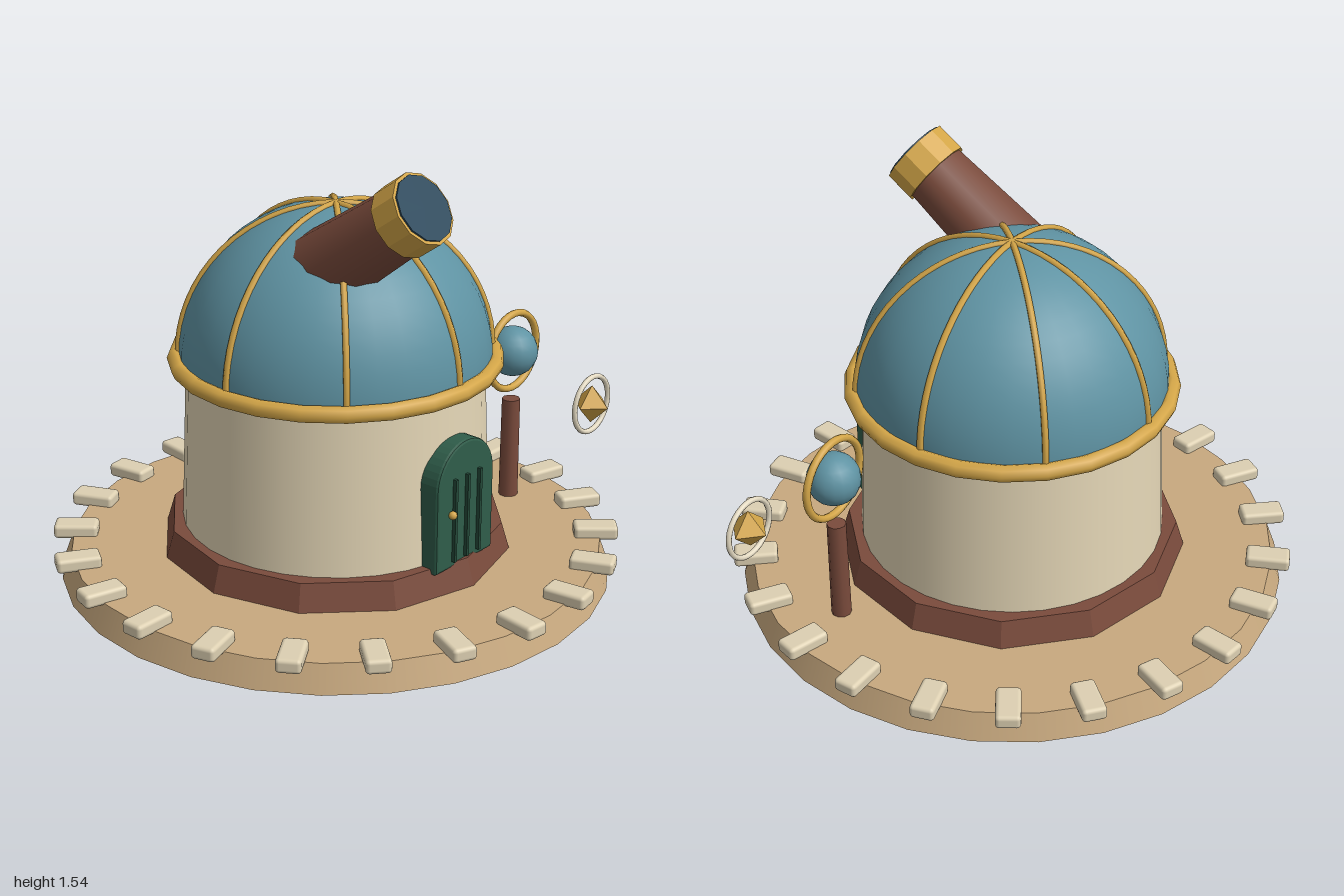
import * as THREE from 'three';
import { RoundedBoxGeometry } from 'three/addons/geometries/RoundedBoxGeometry.js';

const paint = (color, flatShading = false) => new THREE.MeshStandardMaterial({ color, flatShading });

export function createModel() {
  const model = new THREE.Group();
  const sand = paint(0xc8a97f), stone = paint(0xddd0b2), wood = paint(0x7a4b3c);
  const woodFlat = paint(0x7a4b3c, true), plaster = paint(0xe4d6b6), blue = paint(0x5f93a3);
  const gold = paint(0xd4a648), goldFlat = paint(0xd4a648, true), green = paint(0x2f5d4a);
  const darkGreen = paint(0x234838), glass = paint(0x2b495c), cream = paint(0xe6dcc4);

  const add = (name, geometry, material, x = 0, y = 0, z = 0, parent = model) => {
    const mesh = new THREE.Mesh(geometry, material);
    mesh.name = name;
    mesh.position.set(x, y, z);
    parent.add(mesh);
    return mesh;
  };

  // Round terrace with a ring of border stones
  add('terrace', new THREE.CylinderGeometry(0.935, 0.97, 0.095, 28), sand, 0, 0.0475, 0);
  const stoneGeo = new RoundedBoxGeometry(0.155, 0.05, 0.085, 2, 0.014);
  const stones = new THREE.Group();
  stones.name = 'borderStones';
  model.add(stones);
  const stoneCount = 22;
  for (let i = 0; i < stoneCount; i++) {
    const a = (i / stoneCount) * Math.PI * 2;
    const s = add('borderStone', stoneGeo, stone, Math.cos(a) * 0.922, 0.11, Math.sin(a) * 0.922, stones);
    s.rotation.y = -a;
  }

  // Twelve-sided plinth and round tower
  add('plinth', new THREE.CylinderGeometry(0.59, 0.62, 0.1, 12), woodFlat, 0, 0.14, 0);
  add('tower', new THREE.CylinderGeometry(0.515, 0.54, 0.6, 32), plaster, 0, 0.475, 0);

  // Dome, its rim and eight ribs
  const domeY = 0.775;
  add('dome', new THREE.SphereGeometry(0.54, 32, 14, 0, Math.PI * 2, 0, Math.PI / 2), blue, 0, domeY, 0);
  add('domeUnderside', new THREE.CircleGeometry(0.54, 32).rotateX(Math.PI / 2), blue, 0, domeY, 0);
  add('domeRim', new THREE.TorusGeometry(0.55, 0.03, 8, 24).rotateX(Math.PI / 2), gold, 0, domeY, 0);
  const ribGeo = new THREE.TorusGeometry(0.541, 0.012, 6, 32, Math.PI);
  for (let i = 0; i < 4; i++) {
    add('domeRib', ribGeo, gold, 0, domeY, 0).rotation.y = (i * Math.PI) / 4;
  }

  // Telescope: local y runs along the barrel, origin at the open end
  const telescope = new THREE.Group();
  telescope.name = 'telescope';
  telescope.position.set(-0.168, 1.434, 0.51);
  telescope.quaternion.setFromUnitVectors(
    new THREE.Vector3(0, 1, 0), new THREE.Vector3(0.03, 0.578, 0.816).normalize());
  model.add(telescope);
  add('barrel', new THREE.CylinderGeometry(0.113, 0.138, 0.45, 12), wood, 0, -0.285, 0, telescope);
  add('barrelCollar', new THREE.CylinderGeometry(0.126, 0.126, 0.105, 12), goldFlat, 0, -0.0525, 0, telescope);
  add('lens', new THREE.CylinderGeometry(0.115, 0.115, 0.01, 12), glass, 0, 0.001, 0, telescope);

  // Arched door with grooves and knob
  const arch = new THREE.Shape();
  arch.moveTo(-0.14, 0);
  arch.lineTo(0.14, 0);
  arch.lineTo(0.14, 0.285);
  arch.absarc(0, 0.285, 0.14, 0, Math.PI, false);
  arch.lineTo(-0.14, 0);
  add('door', new THREE.ExtrudeGeometry(arch, {
    depth: 0.065, curveSegments: 10, bevelSize: 0.01, bevelThickness: 0.01, bevelSegments: 2,
  }), green, 0, 0.183, 0.502);
  for (const x of [-0.065, 0, 0.065]) {
    add('doorStrip', new THREE.BoxGeometry(0.012, 0.3, 0.02), darkGreen, x, 0.347, 0.58);
  }
  add('doorKnob', new THREE.SphereGeometry(0.015, 10, 8), gold, -0.083, 0.375, 0.588);

  // Post with a ringed globe hovering above it
  add('post', new THREE.CylinderGeometry(0.033, 0.035, 0.385, 10), wood, 0.673, 0.2825, 0.26);
  add('globe', new THREE.SphereGeometry(0.092, 18, 12), blue, 0.673, 0.66, 0.26);
  add('globeRing', new THREE.TorusGeometry(0.142, 0.0135, 8, 32), gold, 0.673, 0.66, 0.26);

  // Small floating crystal in its ring
  add('crystal', new THREE.OctahedronGeometry(0.072), goldFlat, 0.845, 0.463, 0.495);
  add('crystalRing', new THREE.TorusGeometry(0.105, 0.01, 8, 28), cream, 0.845, 0.463, 0.495);

  return model;
}
